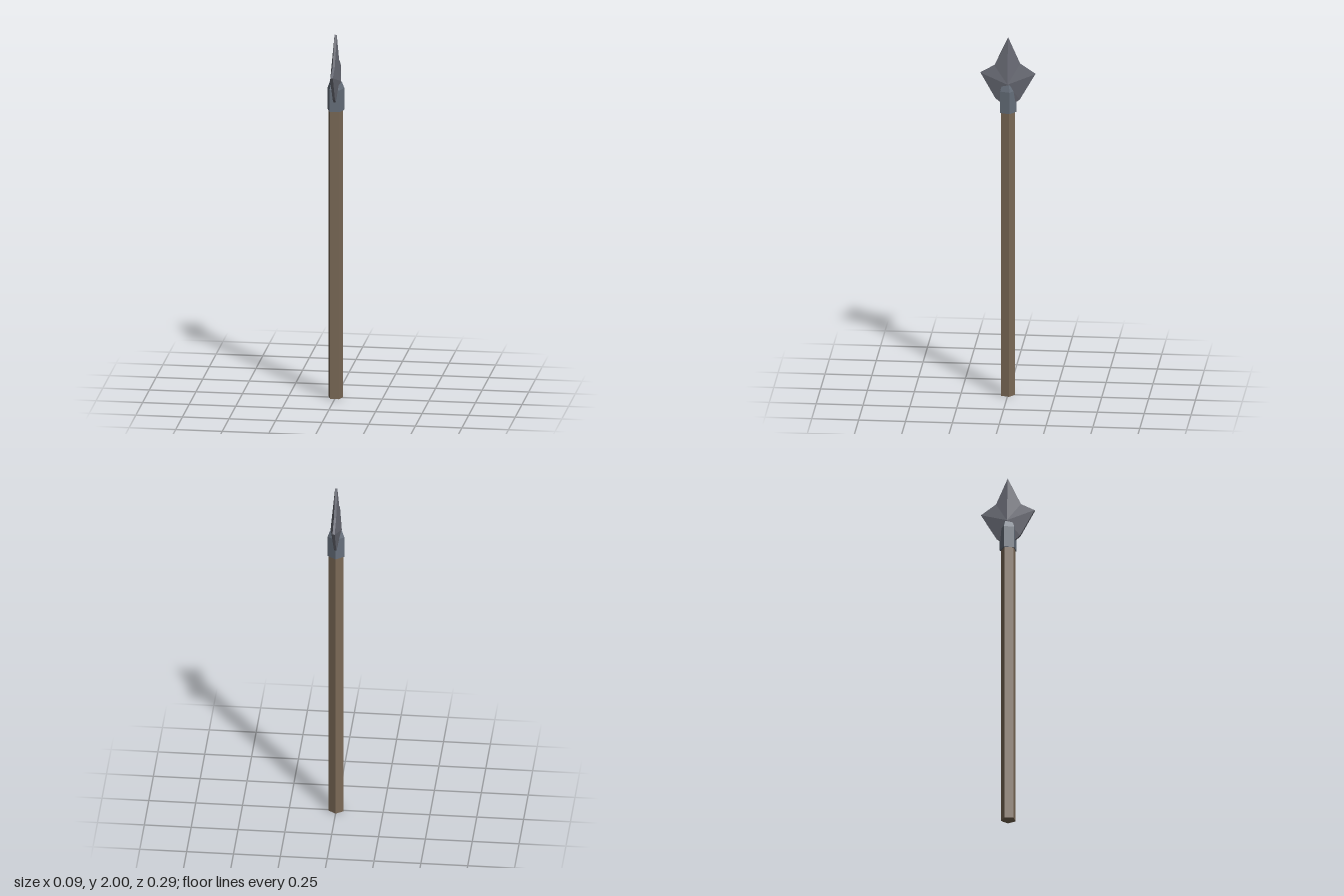
import * as THREE from 'three';

const wood = new THREE.MeshStandardMaterial({ color: 0x7b6a57, flatShading: true });
wood.name = 'wood';
const bladeSteel = new THREE.MeshStandardMaterial({ color: 0x676973, flatShading: true });
bladeSteel.name = 'bladeSteel';
const collarSteel = new THREE.MeshStandardMaterial({ color: 0x67707c, flatShading: true });
collarSteel.name = 'collarSteel';

// Five-sided prism or frustum: flat side to the front, corner to the back
function pentagon(name, rTop, rBottom, y0, y1, z, material, open = false) {
  const geo = new THREE.CylinderGeometry(rTop, rBottom, y1 - y0, 5, 1, open, Math.PI);
  const mesh = new THREE.Mesh(geo, material);
  mesh.name = name;
  mesh.position.set(0, (y0 + y1) / 2, z);
  return mesh;
}

// Star-shaped blade: outline with a thin flat rim, each side rising to a central peak
function bladeGeometry() {
  const outline = [ // [z, y], from the tip down the front and up the back
    [0, 2.0], [0.072, 1.843], [0.146, 1.8], [0.067, 1.66],
    [0, 1.605], [-0.064, 1.657], [-0.146, 1.8], [-0.064, 1.855],
  ];
  const rim = 0.006, peakX = 0.03, peakY = 1.745;
  const pos = [];
  outline.forEach(([z, y], i) => {
    const [z2, y2] = outline[(i + 1) % outline.length];
    // left and right faces
    pos.push(peakX, peakY, 0, rim, y, z, rim, y2, z2);
    pos.push(-peakX, peakY, 0, -rim, y2, z2, -rim, y, z);
    // rim strip
    pos.push(rim, y, z, -rim, y, z, -rim, y2, z2);
    pos.push(rim, y, z, -rim, y2, z2, rim, y2, z2);
  });
  const geo = new THREE.BufferGeometry();
  geo.setAttribute('position', new THREE.Float32BufferAttribute(pos, 3));
  geo.computeVertexNormals();
  return geo;
}

export function createModel() {
  const spear = new THREE.Group();
  spear.name = 'spear';

  spear.add(pentagon('shaft', 0.041, 0.041, 0, 1.6, 0.003, wood));

  // Socket holding the blade, with a bevelled top
  const collar = new THREE.Group();
  collar.name = 'collar';
  collar.add(
    pentagon('collarBody', 0.047, 0.047, 1.585, 1.705, 0.002, collarSteel),
    pentagon('collarBevel', 0.034, 0.047, 1.705, 1.74, 0.002, collarSteel),
  );
  spear.add(collar);

  const blade = new THREE.Mesh(bladeGeometry(), bladeSteel);
  blade.name = 'blade';
  spear.add(blade);

  return spear;
}
